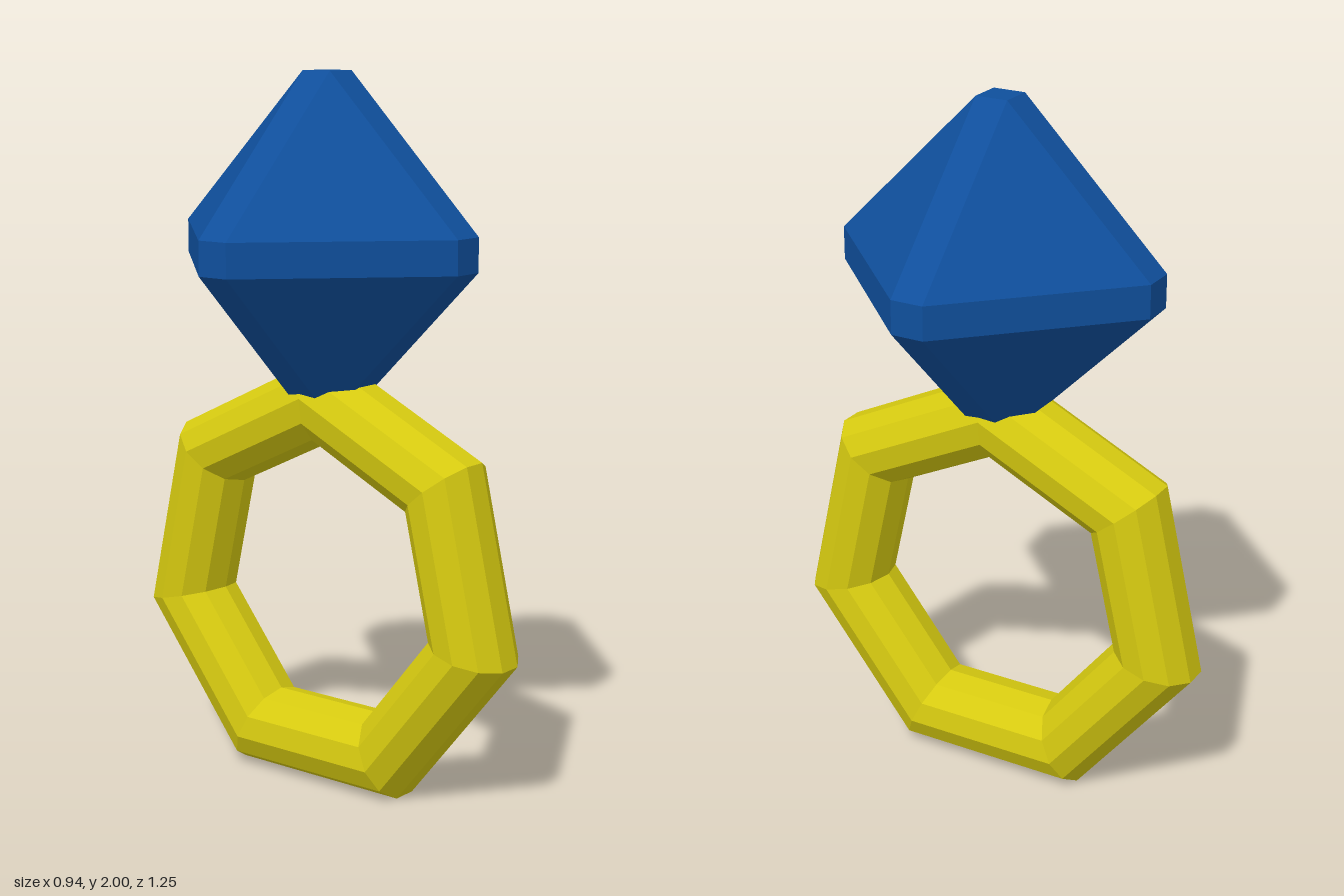
import * as THREE from 'three';
import { ConvexGeometry } from 'three/addons/geometries/ConvexGeometry.js';

const gold = new THREE.MeshStandardMaterial({ color: 0xd6ca10, flatShading: true });
const blue = new THREE.MeshStandardMaterial({ color: 0x0f4f9c, flatShading: true });

// Seven-segment band with an eleven-sided section, flat side outward
function createBand() {
  const R = 0.52, r = 0.126, sides = 11, profile = [];
  for (let i = 0; i <= sides; i++) {
    const a = ((i % sides) + 0.5) / sides * Math.PI * 2;
    profile.push(new THREE.Vector2(R + r * Math.cos(a), r * Math.sin(a)));
  }
  const geo = new THREE.LatheGeometry(profile, 7, -Math.PI / 2);
  geo.rotateZ(-Math.PI / 2); // lay the axis along x, one corner pointing up
  const band = new THREE.Mesh(geo, gold);
  band.name = 'band';
  band.position.y = 0.5775;
  return band;
}

// Octahedral gem with chamfered edges and cut corners
function createGem() {
  const far = 0.472, near = 0.047, points = [];
  for (let axis = 0; axis < 3; axis++)
    for (const sx of [-1, 1]) for (const sy of [-1, 1]) for (const sz of [-1, 1]) {
      const p = [sx * near, sy * near, sz * near];
      p[axis] *= far / near;
      points.push(new THREE.Vector3(...p));
    }
  const gem = new THREE.Mesh(new ConvexGeometry(points), blue);
  gem.name = 'gem';
  gem.position.y = 2 - far;
  return gem;
}

export function createModel() {
  const ring = new THREE.Group();
  ring.name = 'gemRing';
  ring.add(createBand(), createGem());
  return ring;
}
